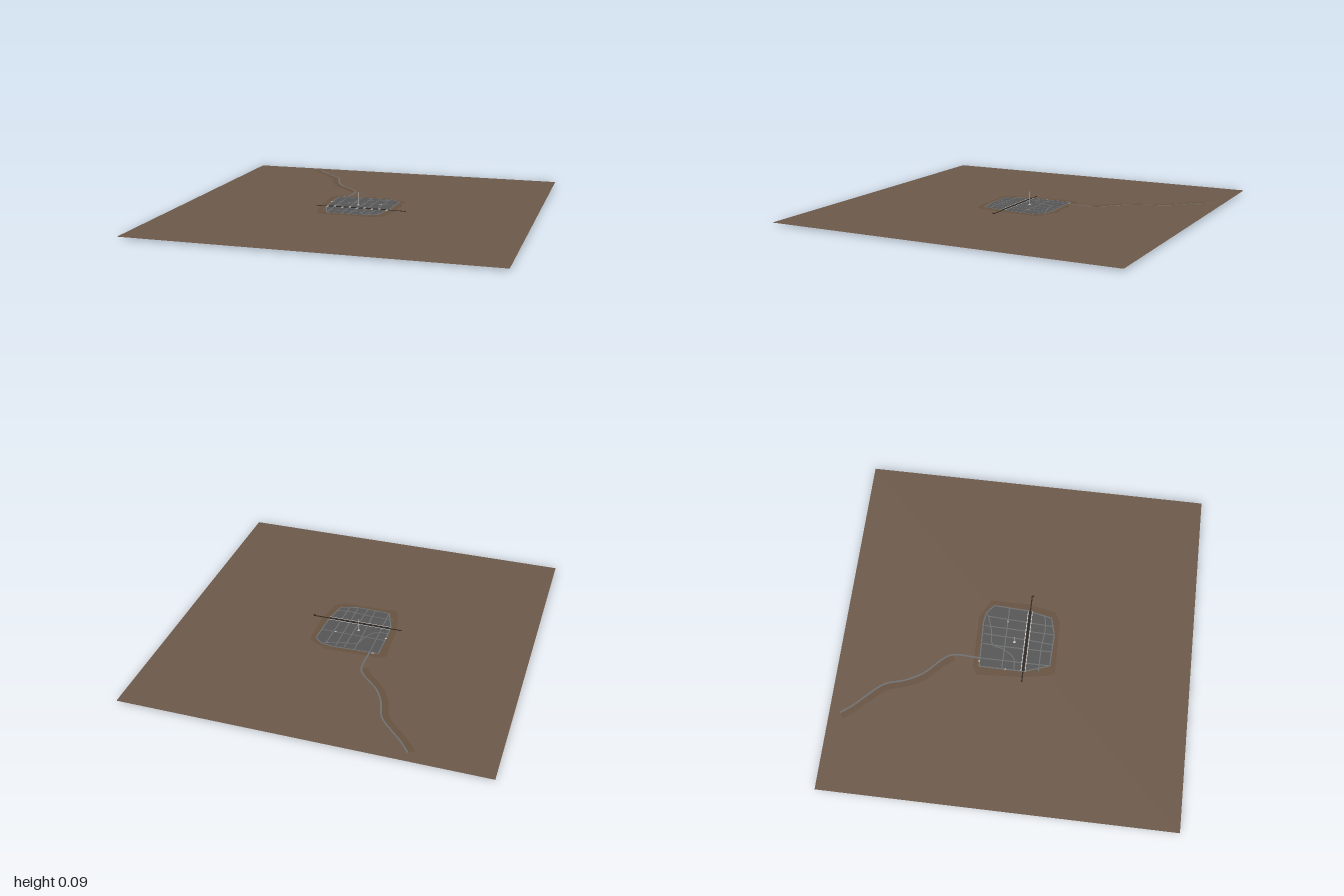
import * as THREE from 'three';

const GROUND = 0.01;
const mat = (color) => new THREE.MeshStandardMaterial({ color, side: THREE.DoubleSide });
const soil = mat(0x6b5849), soilDark = mat(0x66513f), stone = mat(0x555555);
const street = mat(0x6c6e6f), dark = mat(0x2c2520), pale = mat(0xcccccc);

const curveOf = (pts) => new THREE.CatmullRomCurve3(pts.map(([x, z]) => new THREE.Vector3(x, 0, z)), false, 'centripetal');

// flat strip of constant width following points on the ground
function ribbon(name, pts, width, y, material) {
  const curve = curveOf(pts), n = pts.length > 2 ? 40 : 1;
  const pos = [], idx = [];
  for (let i = 0; i <= n; i++) {
    const p = curve.getPoint(i / n), t = curve.getTangent(i / n);
    for (const s of [-0.5, 0.5]) pos.push(p.x - t.z * width * s, y, p.z + t.x * width * s);
    if (i < n) idx.push(2 * i, 2 * i + 2, 2 * i + 1, 2 * i + 1, 2 * i + 2, 2 * i + 3);
  }
  const g = new THREE.BufferGeometry();
  g.setAttribute('position', new THREE.Float32BufferAttribute(pos, 3));
  g.setIndex(idx.map((v, i) => idx[i - (i % 3) + [0, 2, 1][i % 3]]));
  g.computeVertexNormals();
  const m = new THREE.Mesh(g, material);
  m.name = name;
  return m;
}

// thin slab from an outline in x and z, resting on height y
function slab(name, pts, y, height, material) {
  const shape = new THREE.Shape(pts.map(([x, z]) => new THREE.Vector2(x, -z)));
  const g = new THREE.ExtrudeGeometry(shape, { depth: height, bevelEnabled: false });
  g.rotateX(-Math.PI / 2);
  const m = new THREE.Mesh(g, material);
  m.name = name;
  m.position.y = y;
  return m;
}

function box(name, size, at, material) {
  const m = new THREE.Mesh(new THREE.BoxGeometry(...size), material);
  m.name = name;
  m.position.set(...at);
  return m;
}

export function createModel() {
  const model = new THREE.Group();

  const ground = new THREE.Mesh(new THREE.PlaneGeometry(2, 2).rotateX(-Math.PI / 2), soil);
  ground.name = 'ground';
  ground.position.y = GROUND;
  model.add(ground);

  // trodden earth around the paved area
  const outline = [[-0.19, -0.2], [0.08, -0.21], [0.14, -0.2], [0.19, -0.16], [0.18, 0.04],
    [0.15, 0.18], [0.05, 0.205], [-0.14, 0.2], [-0.19, 0.06]];
  const fringe = [[-0.24, -0.21], [-0.2, -0.235], [0.11, -0.24], [0.22, -0.18], [0.22, 0.04],
    [0.19, 0.2], [0.13, 0.23], [-0.18, 0.235], [-0.2, 0.19], [-0.225, 0.05]];
  model.add(slab('earthFringe', fringe, GROUND, 0.0006, soilDark));
  model.add(slab('pavement', outline, GROUND, 0.0018, stone));

  // kerb along the pavement edge
  const top = GROUND + 0.0022;
  outline.forEach((p, i) => model.add(ribbon('kerb', [p, outline[(i + 1) % outline.length]], 0.007, top, street)));

  // streets across the pavement
  const streets = [
    [[-0.19, -0.07], [0.185, -0.07]],
    [[-0.18, 0.14], [-0.03, 0.14], [0.08, 0.15], [0.16, 0.14]],
    [[-0.05, -0.2], [-0.055, -0.07], [-0.055, 0.2]],
    [[0.01, -0.2], [0.0, 0.05], [-0.01, 0.2]],
    [[0.06, -0.2], [0.055, 0], [0.05, 0.2]],
    [[0.12, -0.19], [0.11, 0], [0.1, 0.19]],
    [[-0.19, 0.0], [-0.12, -0.01], [-0.07, -0.08], [-0.05, -0.14], [0.04, -0.16], [0.13, -0.19]],
    [[-0.14, -0.2], [-0.14, 0.04], [-0.14, 0.2]],
  ];
  for (const pts of streets) model.add(ribbon('street', pts, 0.006, top, street));

  // winding road to the back with worn earth on its side
  const road = [[-0.14, -0.2], [-0.14, -0.36], [-0.17, -0.41], [-0.27, -0.51], [-0.32, -0.6],
    [-0.36, -0.72], [-0.43, -0.8], [-0.5, -0.87], [-0.555, -0.94]];
  model.add(ribbon('roadVerge', road.slice(1).map(([x, z]) => [x - 0.015, z + 0.008]), 0.045, GROUND + 0.0005, soilDark));
  model.add(ribbon('road', road, 0.01, GROUND + 0.0015, street));

  // long dark beam, stepped thinner at its tips, with a pale strip on each side
  model.add(box('beam', [0.37, 0.003, 0.014], [-0.005, GROUND + 0.002, 0.052], dark));
  model.add(box('beamTip', [0.53, 0.002, 0.007], [0.012, GROUND + 0.001, 0.052], dark));
  for (const z of [0.04, 0.064]) model.add(ribbon('beamStrip', [[-0.19, z], [0.18, z]], 0.004, top + 0.0004, pale));
  model.add(box('beamEnd', [0.008, 0.014, 0.01], [0.275, 0.007, 0.058], dark));

  // small markers on the pavement
  for (const [x, z] of [[-0.19, -0.05], [0.1, -0.07], [-0.16, -0.205]])
    model.add(box('marker', [0.012, 0.002, 0.005], [x, GROUND + 0.0025, z], pale));

  // slender mast
  const mast = new THREE.Mesh(new THREE.CylinderGeometry(0.001, 0.0015, 0.09, 6), pale);
  mast.name = 'mast';
  mast.position.set(-0.02, 0.045, -0.018);
  model.add(mast);
  model.add(box('mastFoot', [0.012, 0.004, 0.012], [-0.02, GROUND + 0.002, -0.018], pale));

  return model;
}
